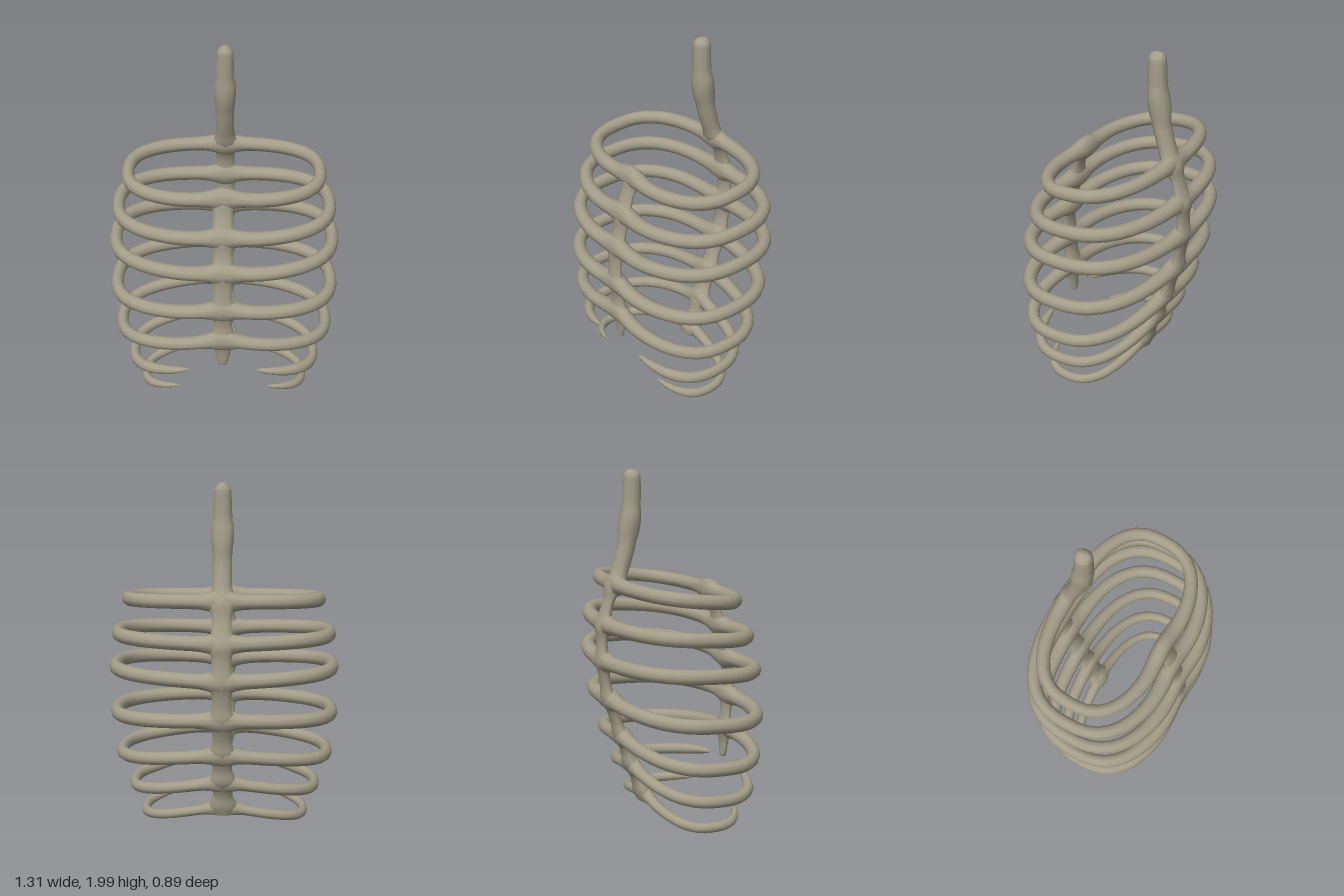
import * as THREE from 'three';

const SIDES = 10;

// Skin over oval sections {c, u, v}, running along u x v
function loft(sections, closed) {
  const pos = [], idx = [], n = sections.length;
  for (const { c, u, v } of sections) {
    for (let j = 0; j < SIDES; j++) {
      const a = (j / SIDES) * Math.PI * 2;
      const p = c.clone().addScaledVector(u, Math.cos(a)).addScaledVector(v, Math.sin(a));
      pos.push(p.x, p.y, p.z);
    }
  }
  for (let i = 0; i < (closed ? n : n - 1); i++) {
    for (let j = 0; j < SIDES; j++) {
      const k = (j + 1) % SIDES, m = (i + 1) % n;
      const a = i * SIDES + j, b = i * SIDES + k, d = m * SIDES + k, e = m * SIDES + j;
      idx.push(a, b, d, a, d, e);
    }
  }
  const g = new THREE.BufferGeometry();
  g.setAttribute('position', new THREE.Float32BufferAttribute(pos, 3));
  g.setIndex(idx);
  g.computeVertexNormals();
  return g;
}

// a: half width, back/front: z of the centre line, y: height at the sides,
// slope: fall towards the front, rise: lift towards the middle, r: thickness, gap: open angle
const RIBS = [
  { a: 0.54, back: -0.33, front: 0.28, y: 1.325, slope: 0.12, rise: 0, r: 0.04, gap: 0 },
  { a: 0.60, back: -0.39, front: 0.345, y: 1.13, slope: 0.08, rise: -0.02, r: 0.041, gap: 0 },
  { a: 0.62, back: -0.40, front: 0.39, y: 0.938, slope: 0.06, rise: -0.03, r: 0.041, gap: 0 },
  { a: 0.62, back: -0.365, front: 0.405, y: 0.665, slope: 0.06, rise: 0.02, r: 0.041, gap: 0 },
  { a: 0.597, back: -0.30, front: 0.395, y: 0.415, slope: 0.04, rise: 0.06, r: 0.038, gap: 0 },
  { a: 0.53, back: -0.235, front: 0.38, y: 0.208, slope: 0.04, rise: 0.09, r: 0.034, gap: 0.56 },
  { a: 0.467, back: -0.165, front: 0.305, y: 0.035, slope: 0, rise: 0.1, r: 0.029, gap: 0.87 },
];

function ribPoint(o, t) {
  const n = 2.6, s = Math.sin(t), k = Math.cos(t);
  const b = (o.front - o.back) / 2, zc = (o.front + o.back) / 2;
  const r = Math.pow(Math.pow(Math.abs(s) / o.a, n) + Math.pow(Math.abs(k) / b, n), -1 / n);
  const x = r * s;
  let z = zc - r * k;
  if (k < 0) z -= 0.025 * Math.exp(-((x / 0.16) ** 2)); // dip at the breastbone
  return new THREE.Vector3(x, o.y - o.slope * z + o.rise * (1 - Math.abs(x) / o.a), z);
}

function ribGeometry(o) {
  const steps = 60, end = Math.PI - o.gap, sections = [];
  for (let i = 0; i < steps + (o.gap ? 1 : 0); i++) {
    const f = i / steps, t = -end + 2 * end * f;
    const c = ribPoint(o, t);
    const d = ribPoint(o, t + 0.01).sub(ribPoint(o, t - 0.01)).setY(0).normalize();
    const taper = o.gap ? Math.sqrt(Math.min(1, Math.min(f, 1 - f) / 0.1)) : 1;
    const flare = 0.028 * Math.exp(-((c.x / 0.075) ** 2));
    const wide = o.r * (0.88 + 0.32 * Math.cos(t) ** 2) * taper;
    sections.push({
      c,
      u: new THREE.Vector3(d.z, 0, -d.x).multiplyScalar(wide),
      v: new THREE.Vector3(0, o.r * taper + flare, 0),
    });
  }
  return loft(sections, !o.gap);
}

// Upright bone through [y, z, half width, half depth], swelling at the given heights
function columnGeometry(points, heights, steps) {
  const path = new THREE.CatmullRomCurve3(points.map(p => new THREE.Vector3(0, p[0], p[1])));
  const size = new THREE.CatmullRomCurve3(points.map(p => new THREE.Vector3(p[2], p[3], 0)));
  const sections = [];
  for (let i = 0; i <= steps; i++) {
    const c = path.getPoint(i / steps), s = size.getPoint(i / steps);
    let swell = 0;
    for (const h of heights) swell += Math.exp(-(((c.y - h) / 0.05) ** 2));
    if (i === 0 || i === steps) swell = 0;
    sections.push({
      c,
      u: new THREE.Vector3(0, 0, Math.max(0.0005, s.y + 0.013 * swell)),
      v: new THREE.Vector3(Math.max(0.0005, s.x + 0.024 * swell), 0, 0),
    });
  }
  return loft(sections, false);
}

export function createModel() {
  const model = new THREE.Group();
  model.name = 'ribCage';
  const bone = new THREE.MeshStandardMaterial({ color: 0xa39d88 });
  bone.name = 'bone';
  const add = (name, geometry) => {
    const mesh = new THREE.Mesh(geometry, bone);
    mesh.name = name;
    model.add(mesh);
  };

  // Seven pairs of ribs, the lowest two open at the front
  RIBS.forEach((o, i) => add('ribPair' + (i + 1), ribGeometry(o)));

  // Spine rising into the neck
  add('spine', columnGeometry([
    [0.08, -0.16, 0, 0], [0.085, -0.16, 0.055, 0.035], [0.13, -0.168, 0.06, 0.036],
    [0.22, -0.205, 0.055, 0.032], [0.30, -0.237, 0.055, 0.034], [0.39, -0.268, 0.055, 0.03],
    [0.48, -0.298, 0.055, 0.034], [0.59, -0.335, 0.055, 0.03], [0.70, -0.37, 0.055, 0.032],
    [0.82, -0.397, 0.055, 0.026], [0.94, -0.408, 0.055, 0.03], [1.05, -0.412, 0.055, 0.026],
    [1.15, -0.402, 0.055, 0.03], [1.26, -0.375, 0.055, 0.028], [1.36, -0.335, 0.055, 0.04],
    [1.46, -0.295, 0.055, 0.05], [1.60, -0.257, 0.055, 0.053], [1.80, -0.23, 0.055, 0.053],
    [1.96, -0.225, 0.048, 0.05], [1.99, -0.225, 0.025, 0.035], [2.0, -0.225, 0, 0],
  ], RIBS.map(o => ribPoint(o, 0).y), 120));

  // Breastbone joining the five closed ribs, pointed at its lower end
  add('breastbone', columnGeometry([
    [0.275, 0.355, 0, 0], [0.285, 0.355, 0.022, 0.016], [0.35, 0.358, 0.042, 0.02],
    [0.46, 0.363, 0.055, 0.028], [0.56, 0.37, 0.055, 0.026], [0.67, 0.382, 0.055, 0.028],
    [0.79, 0.382, 0.055, 0.024], [0.89, 0.367, 0.055, 0.028], [0.99, 0.345, 0.055, 0.024],
    [1.09, 0.322, 0.055, 0.028], [1.19, 0.295, 0.055, 0.024], [1.27, 0.265, 0.05, 0.026],
    [1.3, 0.258, 0, 0],
  ], RIBS.slice(0, 5).map(o => ribPoint(o, Math.PI).y), 80));

  return model;
}
